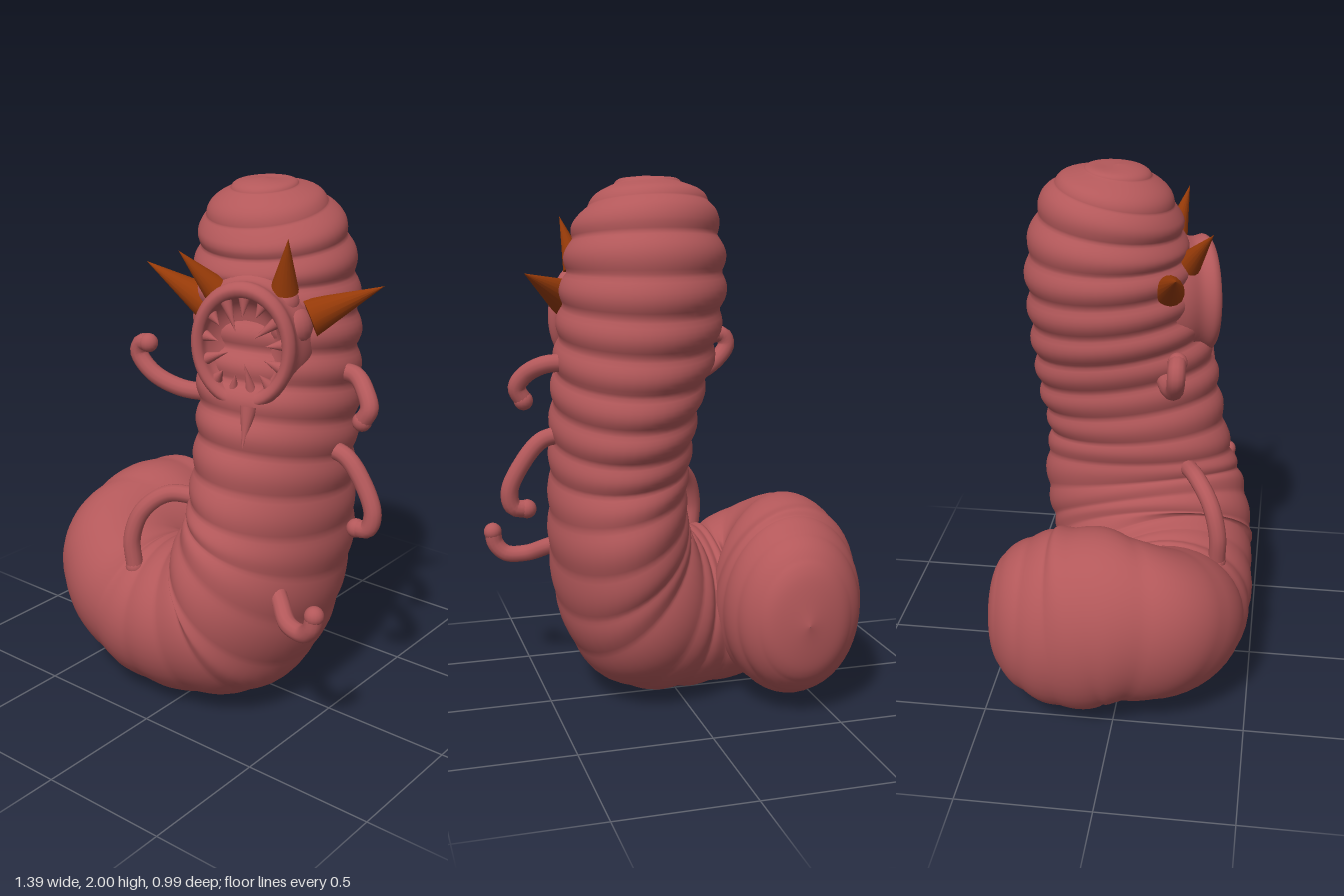
import * as THREE from 'three';

const V = (a) => new THREE.Vector3(...a);

// Body cross-sections from tail to crown: outer point, inner point, half width
const SECTIONS = [
  [[-0.371, 0.385, -0.497], [-0.369, 0.385, -0.497], 0.001],
  [[-0.53, 0.385, -0.455], [-0.22, 0.385, -0.455], 0.2],
  [[-0.625, 0.385, -0.36], [-0.15, 0.385, -0.36], 0.3],
  [[-0.685, 0.385, -0.19], [-0.12, 0.39, -0.2], 0.365],
  [[-0.69, 0.38, 0.01], [-0.13, 0.45, -0.1], 0.36],
  [[-0.56, 0.21, 0.25], [-0.2, 0.54, 0.0], 0.345],
  [[-0.28, 0.04, 0.28], [-0.18, 0.57, 0.03], 0.335],
  [[0.04, 0.02, 0.25], [-0.12, 0.59, 0.04], 0.36],
  [[0.31, 0.11, 0.18], [-0.07, 0.63, 0.01], 0.4],
  [[0.44, 0.34, 0.13], [-0.05, 0.69, 0.0], 0.405],
  [[0.485, 0.62, 0.05], [-0.03, 0.79, -0.01], 0.395],
  [[0.485, 0.9, 0.02], [-0.04, 0.95, -0.02], 0.355],
  [[0.48, 1.15, -0.04], [-0.06, 1.17, -0.04], 0.35],
  [[0.465, 1.4, -0.08], [-0.12, 1.4, -0.08], 0.325],
  [[0.44, 1.65, -0.1], [-0.15, 1.65, -0.1], 0.305],
  [[0.405, 1.81, -0.085], [-0.13, 1.81, -0.085], 0.27],
  [[0.355, 1.89, -0.07], [-0.11, 1.89, -0.07], 0.235],
  [[0.29, 1.945, -0.06], [-0.05, 1.945, -0.06], 0.175],
  [[0.225, 1.985, -0.055], [0.015, 1.985, -0.055], 0.105],
  [[0.121, 1.998, -0.055], [0.119, 1.998, -0.055], 0.001],
];

// Lofted body with rounded rings swelling along its length
function bodyGeometry(steps = 320, sides = 44) {
  const outer = new THREE.CatmullRomCurve3(SECTIONS.map((s) => V(s[0])));
  const inner = new THREE.CatmullRomCurve3(SECTIONS.map((s) => V(s[1])));
  const width = new THREE.CatmullRomCurve3(SECTIONS.map((s) => V([s[2], 0, 0])), false, 'catmullrom');
  const centre = (t) => outer.getPoint(t).add(inner.getPoint(t)).multiplyScalar(0.5);
  const smooth = THREE.MathUtils.smoothstep;
  const pos = [], idx = [];
  let length = 0, last = centre(0), lastW = 0;
  for (let i = 0; i <= steps; i++) {
    const t = i / steps, c = centre(t), w = Math.max(0.001, width.getPoint(t).x);
    length += Math.hypot(c.distanceTo(last), w - lastW);
    last = c;
    lastW = w;
    const T = centre(Math.min(1, t + 0.025)).sub(centre(Math.max(0, t - 0.025)));
    const U = outer.getPoint(t).sub(c);
    const W = T.cross(U).normalize().multiplyScalar(w);
    const depth = (0.025 + 0.05 * smooth(t, 0.45, 0.7) + 0.08 * smooth(t, 0.84, 0.92))
      * smooth(t, 0, 0.1) * (1 - smooth(t, 0.97, 1));
    const ring = 1 + depth * (Math.abs(Math.sin(Math.PI * length / 0.125)) - 0.65);
    for (let j = 0; j < sides; j++) {
      const a = j / sides * Math.PI * 2;
      const p = c.clone().addScaledVector(U, Math.cos(a) * ring).addScaledVector(W, Math.sin(a) * ring);
      pos.push(p.x, Math.max(0, p.y), p.z);
      if (i < steps) {
        const k = i * sides, n = (j + 1) % sides;
        idx.push(k + j, k + n, k + sides + j, k + n, k + sides + n, k + sides + j);
      }
    }
  }
  const g = new THREE.BufferGeometry();
  g.setAttribute('position', new THREE.Float32BufferAttribute(pos, 3));
  g.setIndex(idx);
  g.computeVertexNormals();
  return g;
}

// Cone running from a base point to a tip
function spike(name, base, tip, radius, material) {
  const a = V(base), d = V(tip).sub(a), h = d.length();
  const g = new THREE.ConeGeometry(radius, h, 16).translate(0, h / 2, 0);
  const m = new THREE.Mesh(g, material);
  m.name = name;
  m.position.copy(a);
  m.quaternion.setFromUnitVectors(new THREE.Vector3(0, 1, 0), d.normalize());
  return m;
}

// Curled arm with a rounded tip
function tentacle(name, points, radius, material) {
  const g = new THREE.Group();
  g.name = name;
  const curve = new THREE.CatmullRomCurve3(points.map(V));
  const tip = new THREE.Mesh(new THREE.SphereGeometry(radius * 1.08, 16, 12), material);
  tip.position.copy(curve.getPoint(1));
  g.add(new THREE.Mesh(new THREE.TubeGeometry(curve, 32, radius, 12), material), tip);
  return g;
}

export function createModel() {
  const skin = new THREE.MeshStandardMaterial({ color: 0xb3585a });
  skin.name = 'fleshPink';
  const horn = new THREE.MeshStandardMaterial({ color: 0x963a08 });
  horn.name = 'hornOrange';

  const model = new THREE.Group();
  model.name = 'worm';
  const body = new THREE.Mesh(bodyGeometry(), skin);
  body.name = 'body';
  model.add(body);

  // Snout with rolled lip and hollow mouth
  const head = new THREE.Group();
  head.name = 'head';
  head.position.set(0.26, 1.47, 0.235);
  head.rotation.y = 0.33;
  const profile = new THREE.SplineCurve([[0.23, -0.24], [0.21, -0.1], [0.185, -0.03], [0.19, 0.02],
    [0.172, 0.045], [0.148, 0.035], [0.135, 0], [0.09, -0.035], [0, -0.045]].map((p) => new THREE.Vector2(...p)));
  const pts = profile.getPoints(48);
  pts.forEach((p) => { p.x = Math.max(0, p.x); });
  const snout = new THREE.Mesh(new THREE.LatheGeometry(pts, 48).rotateX(Math.PI / 2).scale(1, 1.2, 1), skin);
  snout.name = 'snout';
  head.add(snout);

  // Ring of uneven teeth pointing into the mouth
  const teeth = 13;
  for (let i = 0; i < teeth; i++) {
    const a = i / teeth * Math.PI * 2 + 0.1, reach = [0.06, 0.095, 0.045][i % 3];
    const x = Math.cos(a), y = Math.sin(a) * 1.2, r = 0.145;
    head.add(spike('tooth', [x * r, y * r, 0.01], [x * (r - reach), y * (r - reach), 0.03], 0.022, skin));
  }
  model.add(head);
  model.add(spike('chinFang', [0.3, 1.26, 0.26], [0.31, 1.12, 0.31], 0.032, skin));

  // Horns around the head, each on a fleshy root
  const horns = [
    [[0.03, 1.555, 0.13], [-0.23, 1.69, 0.19], 0.07],
    [[0.115, 1.63, 0.2], [0.02, 1.78, 0.3], 0.052],
    [[0.35, 1.66, 0.13], [0.4, 1.85, 0.18], 0.05],
    [[0.405, 1.555, 0.055], [0.59, 1.66, -0.13], 0.07],
  ];
  for (const [base, tip, r] of horns) {
    model.add(spike('horn', base, tip, r, horn));
    const root = new THREE.Mesh(new THREE.SphereGeometry(r * 1.15, 20, 14), skin);
    root.name = 'hornRoot';
    root.position.copy(V(base)).lerp(V(tip), -0.26);
    model.add(root);
  }

  // Five curling tentacles
  const arms = {
    rightUpperTentacle: [[0.04, 1.22, 0.12], [-0.1, 1.225, 0.16], [-0.21, 1.27, 0.19], [-0.27, 1.34, 0.2], [-0.255, 1.38, 0.2], [-0.22, 1.385, 0.2]],
    rightLowerTentacle: [[0.08, 0.83, 0.2], [-0.07, 0.84, 0.27], [-0.15, 0.77, 0.33], [-0.18, 0.66, 0.36], [-0.17, 0.54, 0.36]],
    leftUpperTentacle: [[0.4, 1.33, -0.1], [0.51, 1.33, -0.09], [0.58, 1.29, -0.05], [0.61, 1.24, -0.03], [0.585, 1.19, -0.025]],
    leftMiddleTentacle: [[0.42, 1.06, -0.03], [0.52, 1.04, -0.03], [0.6, 0.95, -0.03], [0.645, 0.85, -0.025], [0.63, 0.79, -0.02], [0.58, 0.78, -0.02]],
    leftLowerTentacle: [[0.35, 0.6, 0.18], [0.45, 0.55, 0.26], [0.53, 0.51, 0.32], [0.61, 0.51, 0.34], [0.65, 0.55, 0.35], [0.66, 0.6, 0.35]],
  };
  for (const [name, path] of Object.entries(arms)) model.add(tentacle(name, path, 0.033, skin));

  return model;
}
